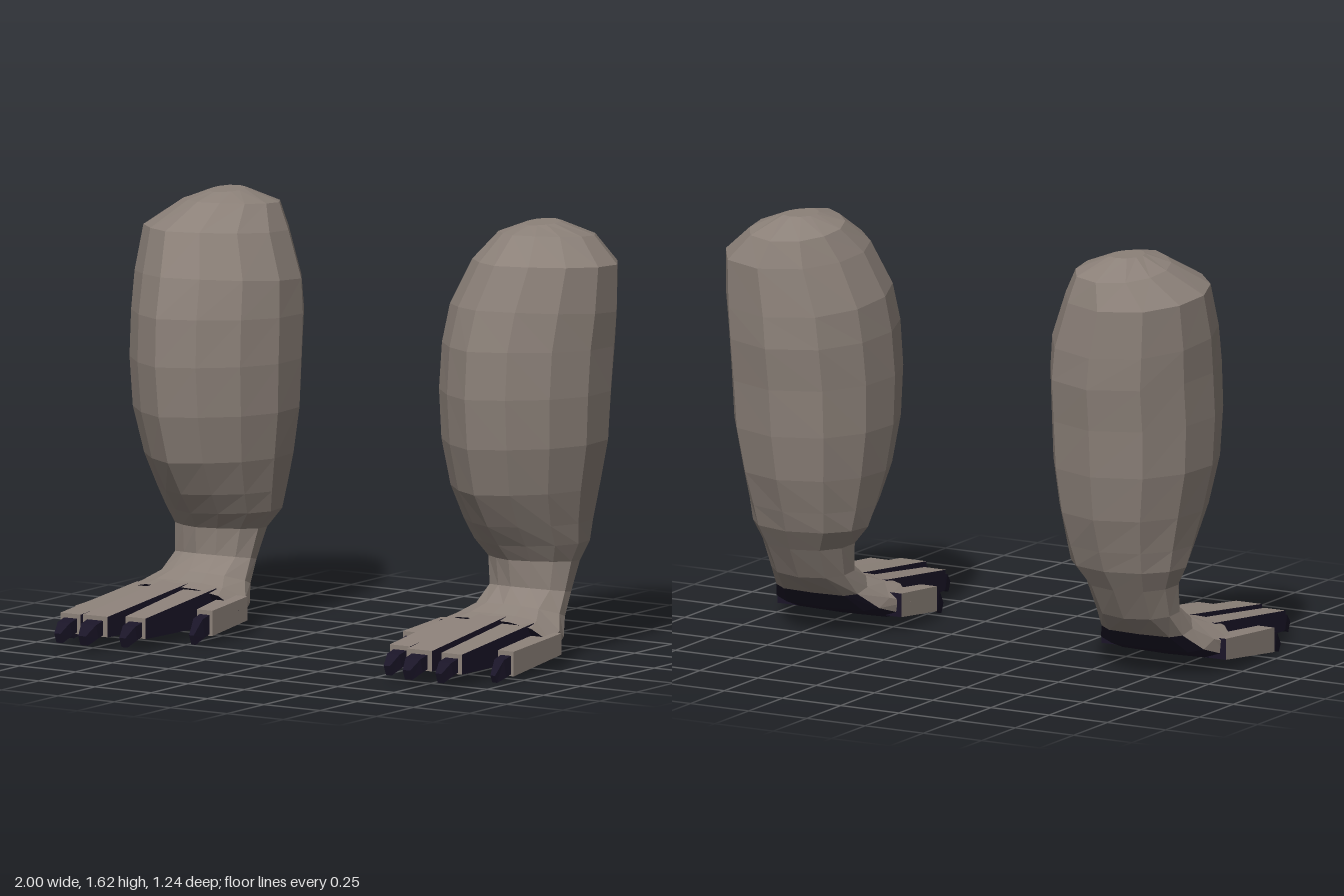
import * as THREE from 'three';

const fur = new THREE.MeshStandardMaterial({ color: 0x8c8179, flatShading: true, side: THREE.DoubleSide });
const dark = new THREE.MeshStandardMaterial({ color: 0x1a1528, flatShading: true, side: THREE.DoubleSide });

// Half profiles as [across, forward], mirrored into closed 12-point outlines
const mirrorProfile = half => [...half, ...half.slice(1, -1).reverse().map(([x, z]) => [-x, z])];
const TEARDROP = mirrorProfile([[0, 1], [0.42, 0.8], [0.8, 0.48], [1, 0.05], [0.94, -0.42], [0.62, -0.82], [0, -1]]);
const PALM = mirrorProfile([[0, 1], [0.42, 0.95], [0.75, 0.68], [1, -0.1], [0.94, -0.7], [0.7, -0.95], [0, -1]]);
const SQUARE = [[1, 1], [1, -1], [-1, -1], [-1, 1]];

// A ring is [front z, front y, back z, back y, centre x, half width]
function ringPoints([fz, fy, bz, by, cx, hw], profile) {
  return profile.map(([px, pz]) => [
    cx + hw * px,
    (fy + by) / 2 + ((fy - by) / 2) * pz,
    (fz + bz) / 2 + ((fz - bz) / 2) * pz,
  ]);
}

// Skin a stack of rings; keep picks the columns, caps close the ends
function loft(name, rings, material, side, { keep = () => true, startCap = false, endCap = false } = {}) {
  const pos = [];
  const tri = (a, b, c) => {
    for (const p of side > 0 ? [a, b, c] : [a, c, b]) pos.push(p[0] * side, p[1], p[2]);
  };
  const n = rings[0].length;
  for (let i = 0; i < rings.length - 1; i++) {
    for (let j = 0; j < n; j++) {
      if (!keep(j)) continue;
      const k = (j + 1) % n;
      tri(rings[i][j], rings[i + 1][j], rings[i + 1][k]);
      tri(rings[i][j], rings[i + 1][k], rings[i][k]);
    }
  }
  const first = rings[0], last = rings[rings.length - 1];
  for (let j = 1; j < n - 1; j++) {
    if (startCap) tri(first[0], first[j], first[j + 1]);
    if (endCap) tri(last[0], last[j + 1], last[j]);
  }
  const geometry = new THREE.BufferGeometry();
  geometry.setAttribute('position', new THREE.Float32BufferAttribute(pos, 3));
  geometry.computeVertexNormals();
  const mesh = new THREE.Mesh(geometry, material);
  mesh.name = name;
  return mesh;
}

const LEG = [
  [-0.24, 1.622, -0.42, 1.625, 0.70, 0.06],
  [-0.13, 1.60, -0.57, 1.56, 0.70, 0.17],
  [0.04, 1.51, -0.61, 1.46, 0.73, 0.26],
  [0.12, 1.35, -0.62, 1.28, 0.70, 0.30],
  [0.165, 1.20, -0.622, 1.16, 0.69, 0.305],
  [0.175, 1.02, -0.60, 1.00, 0.687, 0.307],
  [0.155, 0.83, -0.585, 0.82, 0.685, 0.30],
  [0.10, 0.65, -0.555, 0.65, 0.68, 0.27],
  [0.01, 0.52, -0.51, 0.52, 0.68, 0.242],
  [-0.06, 0.44, -0.48, 0.44, 0.683, 0.225],
  [-0.11, 0.38, -0.43, 0.36, 0.695, 0.18],
  [-0.12, 0.28, -0.36, 0.24, 0.698, 0.167],
  [-0.07, 0.22, -0.25, 0.16, 0.698, 0.185],
];
const FOOT = [
  LEG[LEG.length - 1],
  [0.00, 0.195, -0.17, 0.09, 0.697, 0.235],
  [0.06, 0.182, -0.04, 0.045, 0.695, 0.268],
];

// Root and tip as [x, half width, z, top y, bottom y]; skinSide is the exposed column
const TOES = [
  { name: 'innerToe', root: [0.475, 0.045, -0.06, 0.15, 0.06], tip: [0.457, 0.034, 0.19, 0.13, 0.035], skinSide: 2 },
  { name: 'secondToe', root: [0.585, 0.056, 0, 0.18, 0.045], tip: [0.587, 0.045, 0.46, 0.127, 0.05] },
  { name: 'middleToe', root: [0.705, 0.06, 0, 0.192, 0.045], tip: [0.72, 0.055, 0.53, 0.132, 0.055] },
  { name: 'fourthToe', root: [0.825, 0.056, 0, 0.175, 0.045], tip: [0.846, 0.045, 0.505, 0.125, 0.05] },
  { name: 'outerToe', root: [0.918, 0.045, -0.06, 0.135, 0.055], tip: [0.939, 0.035, 0.28, 0.113, 0.02], skinSide: 0 },
];

function buildToe({ name, root, tip, skinSide }, side) {
  const group = new THREE.Group();
  group.name = name;
  const rings = [root, tip].map(([x, hw, z, top, bottom]) => ringPoints([z, top, z, bottom, x, hw], SQUARE));
  const isSkin = j => j === 3 || j === skinSide;
  group.add(loft('toeSkin', rings, fur, side, { keep: isSkin, endCap: true }));
  group.add(loft('toeUnderside', rings, dark, side, { keep: j => !isSkin(j), startCap: true }));

  // Hooked claw: three shrinking sections dropping towards the point
  const [x, hw, z, top, bottom] = tip;
  const claw = [
    [z - 0.02, top - 0.012, z - 0.02, bottom + 0.012, x, hw * 0.65],
    [z + 0.045, top - 0.027, z + 0.03, bottom - 0.002, x, hw * 0.6],
    [z + 0.09, bottom + 0.012, z + 0.075, Math.max(bottom - 0.025, 0.004), x, hw * 0.3],
  ].map(r => ringPoints(r, SQUARE));
  group.add(loft('claw', claw, dark, side, { endCap: true }));
  return group;
}

function buildLeg(side) {
  const group = new THREE.Group();
  group.name = side > 0 ? 'leftLeg' : 'rightLeg';
  const legRings = LEG.map((r, i) => ringPoints(r, i < LEG.length - 1 ? TEARDROP : PALM));
  group.add(loft('furryLeg', legRings, fur, side, { startCap: true }));

  // Foot: skin above and at the sides, dark pad beneath
  const footRings = FOOT.map(r => ringPoints(r, PALM));
  const isPad = j => j >= 4 && j <= 7;
  group.add(loft('footTop', footRings, fur, side, { keep: j => !isPad(j) }));
  group.add(loft('footPad', footRings, dark, side, { keep: isPad, endCap: true }));
  for (const toe of TOES) group.add(buildToe(toe, side));
  return group;
}

export function createModel() {
  const model = new THREE.Group();
  model.name = 'pawedLegs';
  for (const side of [1, -1]) model.add(buildLeg(side));
  return model;
}
